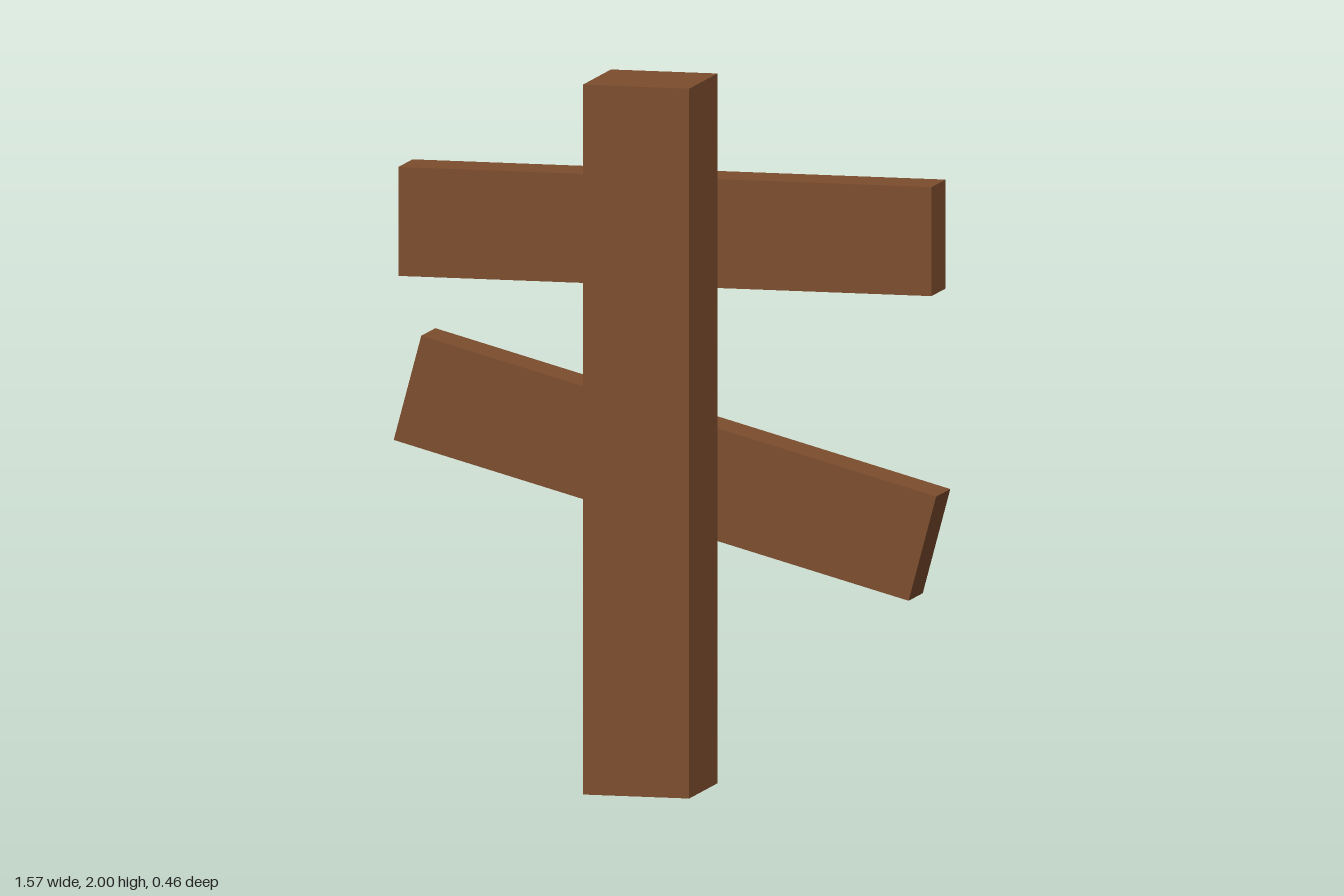
import * as THREE from 'three';

export function createModel() {
  const model = new THREE.Group();
  const wood = new THREE.MeshStandardMaterial({ color: 0x7c4d2d });
  wood.name = 'brownWood';

  const beam = (name, size, position, tilt = 0) => {
    const mesh = new THREE.Mesh(new THREE.BoxGeometry(...size), wood);
    mesh.name = name;
    mesh.position.set(...position);
    mesh.rotation.z = tilt;
    model.add(mesh);
  };

  // Square upright in front, with two planks fixed to its back face
  const thick = 0.307;
  beam('post', [thick, 2, thick], [-0.002, 1, 0.077]);
  beam('upperPlank', [1.538, thick, thick / 2], [0, 1.549, -0.1535]);
  beam('lowerPlank', [1.538, thick, thick / 2], [0, 0.882, -0.1535], -Math.PI / 12);

  return model;
}
